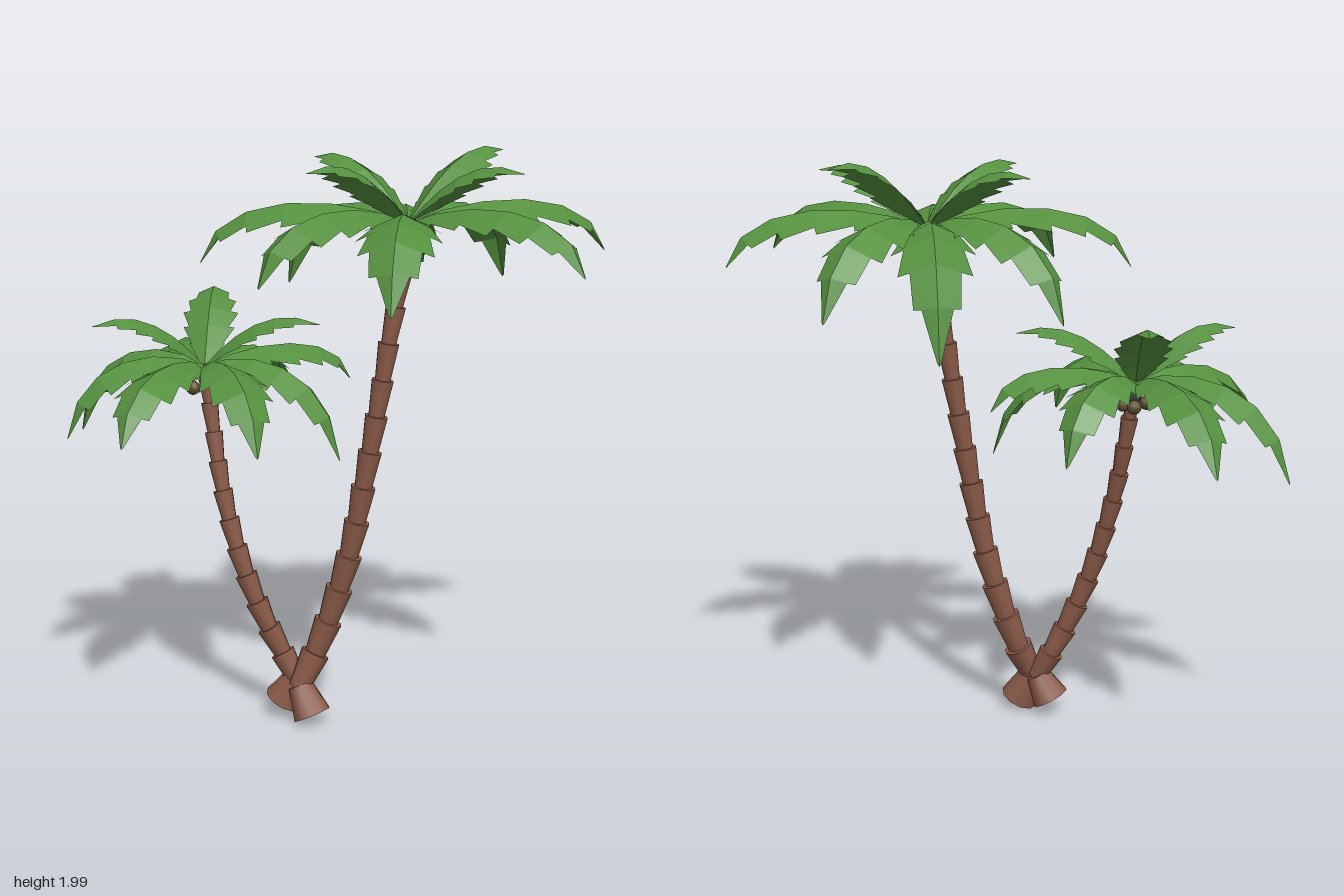
import * as THREE from 'three';

const V = (x, y, z) => new THREE.Vector3(x, y, z);
const leafMat = new THREE.MeshStandardMaterial({ color: 0x55903f, side: THREE.DoubleSide });
const trunkMat = new THREE.MeshStandardMaterial({ color: 0x8a5a48 });
const coreMat = new THREE.MeshStandardMaterial({ color: 0x45483c });
const nutMat = new THREE.MeshStandardMaterial({ color: 0x5f5030 });

// One tapered section of trunk between two points
function section(a, b, rBottom, rTop, name) {
  const dir = b.clone().sub(a);
  const mesh = new THREE.Mesh(new THREE.CylinderGeometry(rTop, rBottom, dir.length(), 10), trunkMat);
  mesh.position.copy(a).add(b).multiplyScalar(0.5);
  mesh.quaternion.setFromUnitVectors(V(0, 1, 0), dir.normalize());
  mesh.name = name;
  return mesh;
}

// Flared root plus a stack of sections that widen toward their upper rim
function buildTrunk(root, points, count, r0, r1) {
  const trunk = new THREE.Group();
  trunk.name = 'trunk';
  trunk.add(section(root, points[0], 0.068, 0.044, 'trunkRoot'));
  const curve = new THREE.CatmullRomCurve3(points);
  for (let i = 0; i < count; i++) {
    const r = THREE.MathUtils.lerp(r0, r1, i / (count - 1));
    const a = curve.getPointAt(i / count);
    const b = curve.getPointAt((i + 1) / count);
    a.lerp(b, -0.08);
    trunk.add(section(a, b, r * 0.72, r, 'trunkSection'));
  }
  return trunk;
}

// Arched, roof-folded leaf with toothed edges; raised leaves climb, others droop
function buildFrond(angleDeg, reach, tipY, arch, width) {
  const a = THREE.MathUtils.degToRad(angleDeg);
  const dir = V(Math.cos(a), 0, Math.sin(a));
  const side = V(-Math.sin(a), 0, Math.cos(a));
  const at = (f, y) => dir.clone().multiplyScalar(reach * f).setY(y);
  const raised = tipY > 0;
  const curve = new THREE.CubicBezierCurve3(
    V(0, 0, 0),
    raised ? at(0.25, 0.12) : at(0.3, arch * 0.6),
    raised ? at(0.6, tipY + 0.07) : at(0.94, arch + tipY * 0.3),
    at(1, tipY),
  );
  const teeth = 6;
  const rows = [];
  for (let i = 0; i < teeth; i++) {
    const t = (i + 0.94) / teeth;
    rows.push([i / teeth, 0.74, 0], [t, 1.06, 0.035 * (1 - t)]);
  }
  rows.push([1, 0, 0]);

  const positions = [], index = [];
  for (const s of [1, -1]) {
    const start = positions.length / 3;
    rows.forEach(([t, k, lean], i) => {
      const mid = curve.getPoint(t);
      const tangent = curve.getTangent(t);
      const normal = side.clone().cross(tangent);
      const w = k * (0.012 * (1 - t) + width * Math.pow(Math.sin(Math.PI * Math.pow(t, 0.95)), 0.85));
      const edge = mid.clone().addScaledVector(side, s * w)
        .addScaledVector(normal, -0.45 * w).addScaledVector(tangent, lean);
      positions.push(...mid.toArray(), ...edge.toArray());
      if (i === rows.length - 1) return;
      const m = start + i * 2;
      if (s > 0) index.push(m, m + 1, m + 2, m + 1, m + 3, m + 2);
      else index.push(m, m + 2, m + 1, m + 1, m + 2, m + 3);
    });
  }
  const geo = new THREE.BufferGeometry();
  geo.setAttribute('position', new THREE.Float32BufferAttribute(positions, 3));
  geo.setIndex(index);
  geo.computeVertexNormals();
  const mesh = new THREE.Mesh(geo, leafMat);
  mesh.name = 'frond';
  return mesh;
}

// Leaves radiating from a core, with nuts tucked beneath
function buildCrown(center, fronds, arch, width, nuts) {
  const crown = new THREE.Group();
  crown.name = 'crown';
  crown.position.copy(center);
  for (const [angle, reach, tipY] of fronds) {
    crown.add(buildFrond(angle, reach, tipY, arch, width * (tipY > 0 ? 0.8 : 1)));
  }
  const core = new THREE.Mesh(new THREE.SphereGeometry(0.034, 10, 8), coreMat);
  core.scale.y = 1.3;
  core.position.set(0.01, -0.035, 0);
  core.name = 'crownCore';
  crown.add(core);
  for (const [x, y, z] of nuts) {
    const nut = new THREE.Mesh(new THREE.SphereGeometry(0.025, 10, 8), nutMat);
    nut.position.set(x, y, z);
    nut.name = 'coconut';
    crown.add(nut);
  }
  return crown;
}

export function createModel() {
  const model = new THREE.Group();
  model.name = 'twinPalms';

  // Tall palm
  const tall = new THREE.Group();
  tall.name = 'tallPalm';
  tall.add(buildTrunk(V(-0.082, 0.04, 0.13), [
    V(-0.125, 0.14, 0.1), V(-0.09, 0.21, 0.085), V(-0.03, 0.36, 0.08), V(0.05, 0.63, 0.09),
    V(0.105, 0.92, 0.1), V(0.15, 1.18, 0.1), V(0.185, 1.4, 0.095), V(0.225, 1.6, 0.085), V(0.25, 1.73, 0.08),
  ], 13, 0.052, 0.032));
  // Each frond: heading in degrees, horizontal reach, tip height
  tall.add(buildCrown(V(0.24, 1.76, 0.08), [
    [-90, 0.58, -0.37], [-53, 0.6, -0.25], [-12, 0.69, -0.11], [40, 0.695, -0.12],
    [97, 0.6, -0.22], [140, 0.63, -0.16], [183, 0.695, -0.14], [228, 0.61, -0.27],
    [-39, 0.43, 0.22], [30, 0.42, 0.18], [138, 0.45, 0.19], [227, 0.46, 0.19],
  ], 0.16, 0.125, [[0.045, -0.08, 0.01], [0.03, -0.085, -0.035], [0, -0.085, 0.035]]));

  // Short palm
  const short = new THREE.Group();
  short.name = 'shortPalm';
  short.add(buildTrunk(V(-0.185, 0.065, 0.045), [
    V(-0.14, 0.15, 0.06), V(-0.17, 0.21, 0.045), V(-0.215, 0.29, 0.04), V(-0.295, 0.47, 0.025),
    V(-0.355, 0.65, 0.005), V(-0.4, 0.85, -0.025), V(-0.425, 1.02, -0.055), V(-0.452, 1.22, -0.08),
  ], 11, 0.044, 0.029));
  short.add(buildCrown(V(-0.455, 1.245, -0.08), [
    [-105, 0.62, -0.2], [-52, 0.46, -0.21], [-13, 0.52, -0.07], [23, 0.51, -0.29],
    [69, 0.57, -0.2], [112, 0.61, -0.16], [159, 0.49, -0.22], [212.5, 0.56, -0.3],
    [-87, 0.38, 0.215], [12, 0.41, 0.16], [161, 0.39, 0.16],
  ], 0.14, 0.108, [[-0.04, -0.075, 0.01], [0.04, -0.08, 0.01], [0.01, -0.08, -0.04]]));

  model.add(tall, short);
  return model;
}
